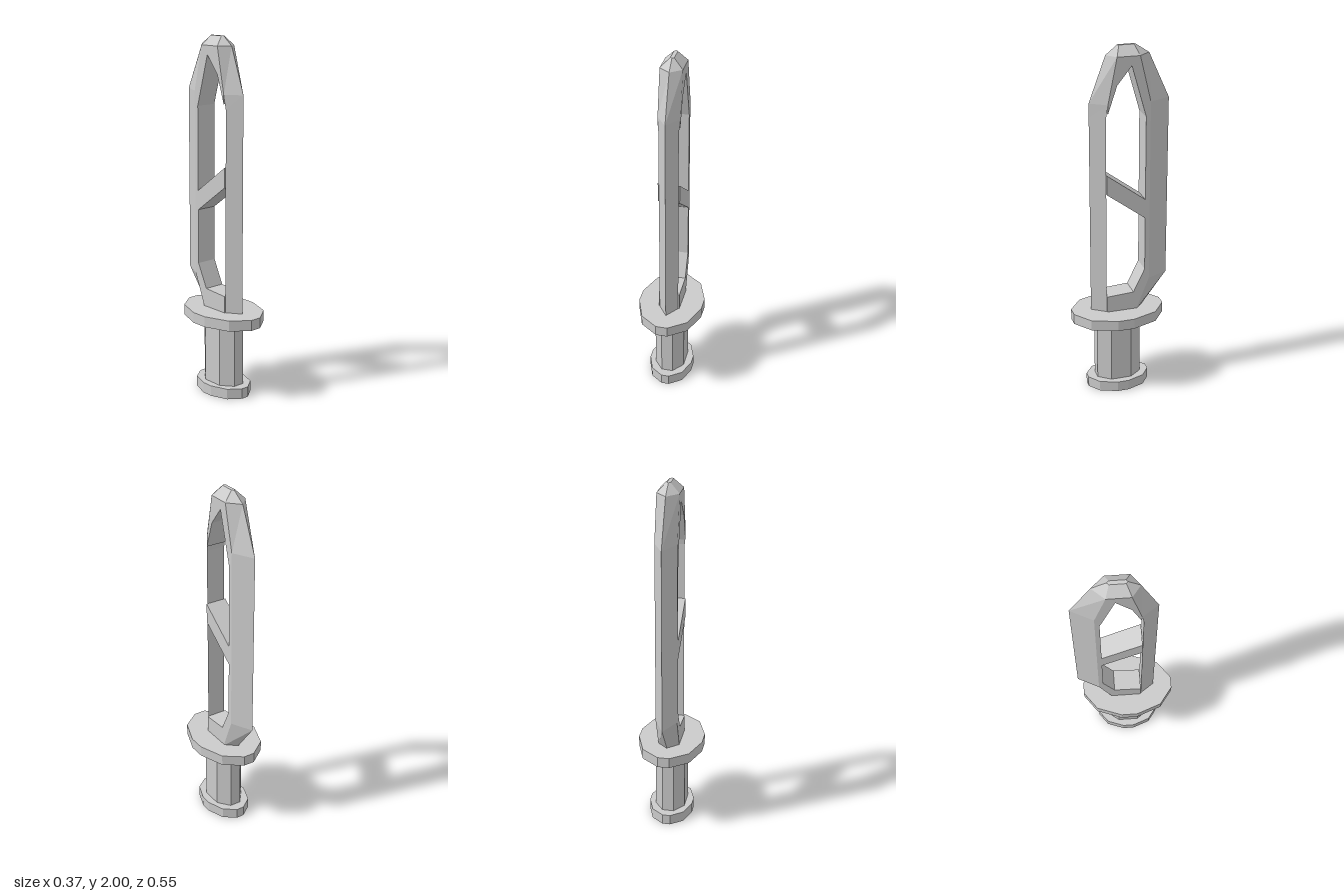
import * as THREE from 'three';

const material = new THREE.MeshStandardMaterial({ color: 0xcccccc, flatShading: true });

// Closed loft through equal-length sections of [x, y, z], anticlockwise from above, bottom to top
function loft(name, sections) {
  const pos = [];
  const n = sections[0].length;
  const tri = (a, b, c) => pos.push(...a, ...b, ...c);
  for (let s = 0; s < sections.length - 1; s++) {
    const lo = sections[s], hi = sections[s + 1];
    for (let i = 0; i < n; i++) {
      const j = (i + 1) % n;
      tri(lo[i], lo[j], hi[j]);
      tri(lo[i], hi[j], hi[i]);
    }
  }
  const first = sections[0], last = sections[sections.length - 1];
  for (let i = 1; i < n - 1; i++) {
    tri(first[0], first[i + 1], first[i]);
    tri(last[0], last[i], last[i + 1]);
  }
  const geometry = new THREE.BufferGeometry();
  geometry.setAttribute('position', new THREE.Float32BufferAttribute(pos, 3));
  geometry.computeVertexNormals();
  const mesh = new THREE.Mesh(geometry, material);
  mesh.name = name;
  return mesh;
}

// Upright prism over a faceted oval, given the corner angles of one quadrant
function ovalPrism(name, y0, y1, rx, rz, angles) {
  const all = [];
  for (let q = 0; q < 4; q++) {
    const list = q % 2 ? angles.map(a => 90 - a).reverse() : angles;
    list.forEach(a => all.push(THREE.MathUtils.degToRad(a + q * 90)));
  }
  const ring = y => all.map(a => [rx * Math.cos(a), y, 0.014 - rz * Math.sin(a)]);
  return loft(name, [ring(y0), ring(y1)]);
}

export function createModel() {
  const model = new THREE.Group();
  model.name = 'sword';

  // Handle
  model.add(ovalPrism('pommel', 0, 0.06, 0.127, 0.182, [10, 45, 80]));
  model.add(ovalPrism('grip', 0.06, 0.43, 0.094, 0.135, [26, 70]));
  model.add(ovalPrism('guard', 0.43, 0.49, 0.186, 0.266, [10, 45, 80]));

  // Flat core of the blade with the diagonal brace, drawn as [z, y]
  const outline = [
    [0.088, 0.48], [0.088, 0.585], [-0.065, 0.595], [-0.13, 0.73], [-0.13, 1.04],
    [0.088, 1.2], [0.088, 1.31], [-0.13, 1.15], [-0.13, 1.62], [-0.05, 1.9],
    [0.03, 1.8], [0.08, 1.65], [0.08, 1.7], [0.03, 1.95], [-0.095, 1.95],
    [-0.155, 1.7], [-0.155, 0.67], [-0.08, 0.48],
  ];
  const coreGeometry = new THREE.ExtrudeGeometry(
    new THREE.Shape(outline.map(p => new THREE.Vector2(...p))),
    { depth: 0.12, bevelEnabled: false });
  coreGeometry.translate(0, 0, -0.06).rotateY(-Math.PI / 2);
  const core = new THREE.Mesh(coreGeometry, material);
  core.name = 'bladeCore';
  model.add(core);

  // Bevelled edges: each station is [y, edge z, shoulder z, shoulder half width]
  const edge = (name, side, stations) => loft(name, stations.map(([y, ze, zs, w]) =>
    [[-side * w, y, zs], [0, y, ze], [side * w, y, zs]]));
  model.add(edge('frontEdge', 1, [
    [0.48, 0.168, 0.09, 0.054], [1.62, 0.168, 0.09, 0.054],
    [1.7, 0.168, 0.08, 0.06], [1.95, 0.076, 0.03, 0.06],
  ]));
  model.add(edge('backEdge', -1, [
    [0.48, -0.132, -0.08, 0.06], [0.67, -0.275, -0.155, 0.06],
    [1.7, -0.275, -0.155, 0.06], [1.95, -0.162, -0.095, 0.06],
  ]));

  // Chamfered tip
  const hexagon = (y, w, front, frontShoulder, backShoulder, back) => [
    [0, y, front], [w, y, frontShoulder], [w, y, backShoulder],
    [0, y, back], [-w, y, backShoulder], [-w, y, frontShoulder],
  ];
  model.add(loft('tip', [
    hexagon(1.95, 0.06, 0.076, 0.03, -0.095, -0.162),
    hexagon(2, 0.01, 0.014, 0.006, -0.076, -0.086),
  ]));

  return model;
}
